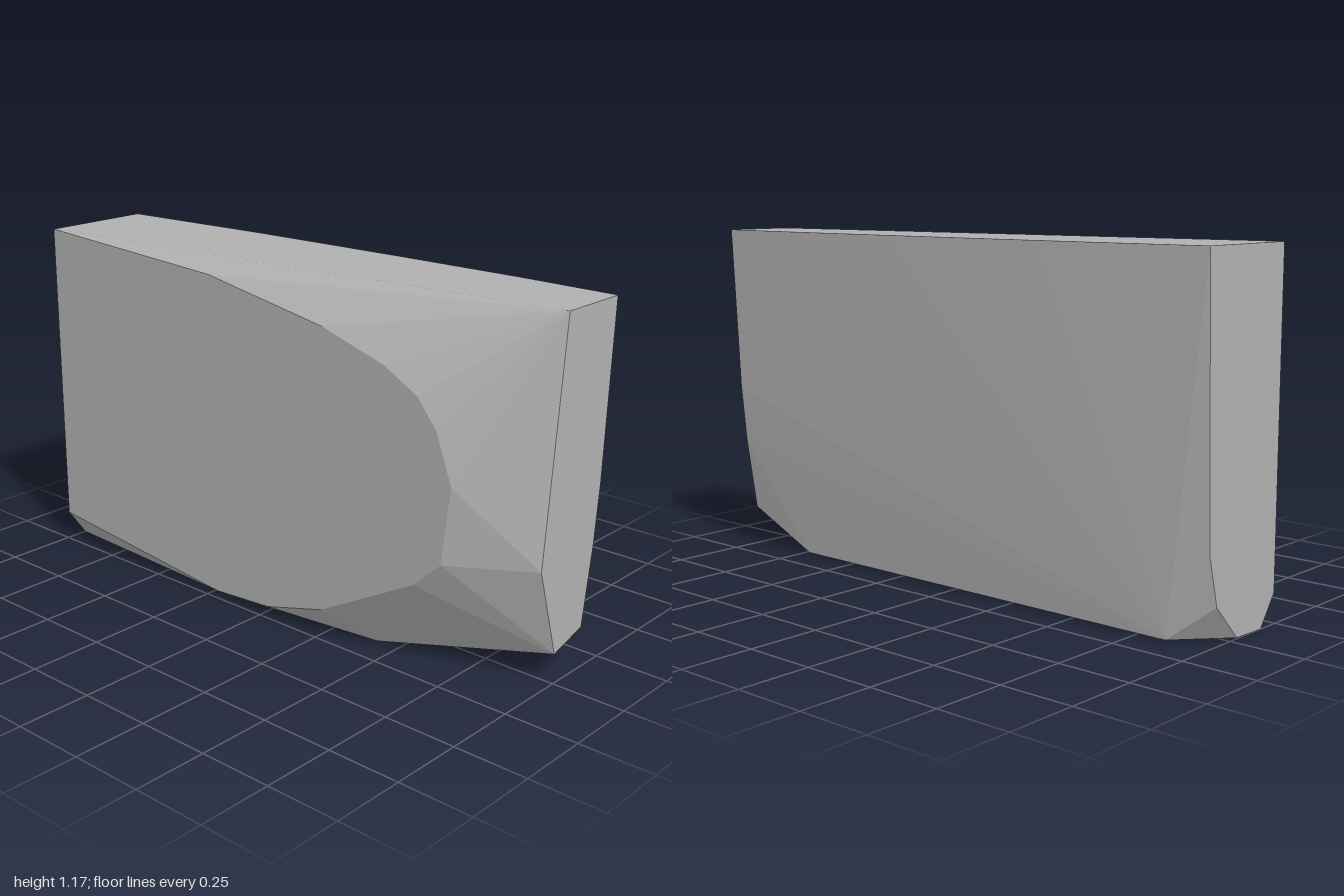
import * as THREE from 'three';
import { ConvexGeometry } from 'three/addons/geometries/ConvexGeometry.js';

// Faceted convex slab, defined by the outlines of its flat sides
export function createModel() {
  const group = new THREE.Group();
  group.name = 'slab';
  const grey = new THREE.MeshStandardMaterial({ color: 0xb0b0b0 });
  grey.name = 'stone grey';

  const TOP = 1.175;
  const points = [];
  const add = (outline, place) => outline.forEach(([a, b]) => points.push(new THREE.Vector3(...place(a, b))));

  // flat front end: x, y
  add([[-0.02, TOP], [0.235, TOP], [0.226, 1], [0.206, 0.6], [0.186, 0.4], [0.145, 0.14], [0, 0.1], [-0.095, 0.4]],
    (x, y) => [x, y, 1]);
  // flat back end: x, y
  add([[-0.24, TOP], [0.155, TOP], [0.119, 0.28], [0.077, 0.12], [-0.036, 0.003], [-0.168, 0], [-0.24, 0.1]],
    (x, y) => [x, y, -1]);
  // bowed top edge: x, z
  add([[0.2, -0.4], [0.225, 0.2], [0.237, 0.65]], (x, z) => [x, TOP, z]);
  // rounded outline of the broad flat side: z, y
  add([[-0.224, 1.13], [0.267, 1.044], [0.509, 0.97], [0.638, 0.9], [0.71, 0.81], [0.77, 0.65],
    [0.74, 0.395], [0.638, 0.3], [0.267, 0.1], [0.026, 0.035], [-0.207, 0.02]],
    (z, y) => [-0.24, y, z]);
  // underside corners: x, z
  add([[0.135, -0.86], [0.135, 0.72], [-0.145, 0.425]], (x, z) => [x, 0.006, z]);

  const body = new THREE.Mesh(new ConvexGeometry(points), grey);
  body.name = 'body';
  group.add(body);
  return group;
}
